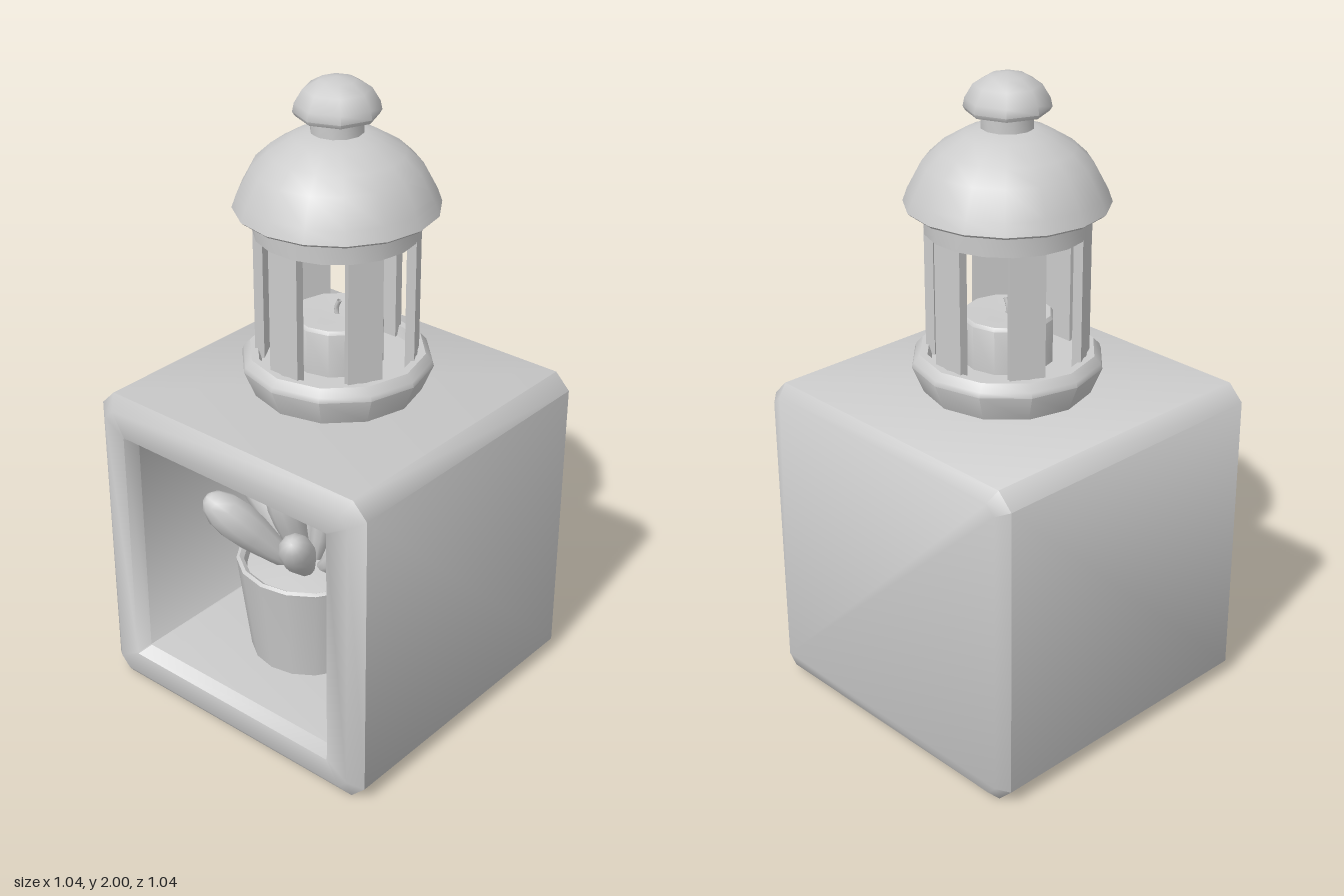
import * as THREE from 'three';
import { toCreasedNormals } from 'three/addons/utils/BufferGeometryUtils.js';

const material = new THREE.MeshStandardMaterial({ color: 0xcccccc, side: THREE.DoubleSide });

function add(parent, name, geometry, x = 0, y = 0, z = 0) {
  const mesh = new THREE.Mesh(geometry, material);
  mesh.name = name;
  mesh.position.set(x, y, z);
  parent.add(mesh);
  return mesh;
}

// Turned part from [radius, height] pairs, listed bottom to top on the outside
function turned(points, sides, crease = 0.7) {
  const lathe = new THREE.LatheGeometry(points.map(([r, y]) => new THREE.Vector2(r, y)), sides);
  return toCreasedNormals(lathe, crease);
}

// Square ring with chamfered corners, counterclockwise from the front
function ring(z, h, c) {
  const k = h - c;
  return [[h, -k], [h, k], [k, h], [-k, h], [-h, k], [-h, -k], [-k, -h], [k, -h]]
    .map(([x, y]) => [x, y, z]);
}

// Cube shell, open underneath, that folds in at the front to line a niche
function boxShell() {
  const rings = [
    ring(-0.518, 0.485, 0.03),
    ring(-0.485, 0.518, 0.05),
    ring(0.485, 0.518, 0.05),
    ring(0.518, 0.475, 0.03),
    ring(0.518, 0.4, 0.003),
    ring(0.48, 0.375, 0.002),
    ring(-0.42, 0.372, 0.002),
  ];
  const positions = [];
  const tri = (a, b, c) => positions.push(...a, ...b, ...c);
  for (let r = 0; r < rings.length - 1; r++) {
    const a = rings[r], b = rings[r + 1];
    for (let i = 0; i < 8; i++) {
      if (r === 1 && i === 6) continue; // open underside
      const j = (i + 1) % 8;
      tri(a[i], a[j], b[j]);
      tri(a[i], b[j], b[i]);
    }
  }
  const back = rings[0], nicheBack = rings[rings.length - 1];
  for (let i = 1; i < 7; i++) {
    tri(back[0], back[i + 1], back[i]);
    tri(nicheBack[0], nicheBack[i], nicheBack[i + 1]);
  }
  const geometry = new THREE.BufferGeometry();
  geometry.setAttribute('position', new THREE.Float32BufferAttribute(positions, 3));
  return toCreasedNormals(geometry, 0.9);
}

function createPlant() {
  const plant = new THREE.Group();
  plant.name = 'pottedSucculent';
  plant.position.set(0, 0.147, 0.13);

  add(plant, 'pot', turned([
    [0, 0], [0.19, 0], [0.23, 0.315], [0.232, 0.328], [0.222, 0.335], [0.208, 0.325], [0.2, 0.29],
  ], 16));
  add(plant, 'soil', turned([[0.205, 0.295], [0.1, 0.315], [0, 0.32]], 12));

  // Leaves: tip x, y, z relative to the pot base, then thickness
  const leaves = [
    [-0.12, 0.73, -0.1, 0.052],
    [0.065, 0.705, -0.06, 0.048],
    [-0.055, 0.645, 0.1, 0.055],
    [-0.3, 0.56, -0.02, 0.056],
    [-0.21, 0.57, 0.24, 0.066],
    [0.19, 0.61, -0.15, 0.052],
    [0.27, 0.51, 0.03, 0.052],
    [0.12, 0.53, 0.22, 0.056],
    [-0.1, 0.57, -0.24, 0.054],
  ];
  const up = new THREE.Vector3(0, 1, 0);
  for (const [x, y, z, r] of leaves) {
    const base = new THREE.Vector3(x * 0.15, 0.29, z * 0.15);
    const direction = new THREE.Vector3(x, y, z).sub(base);
    const length = direction.length();
    const profile = [[0, 0], [0.4, 0.04], [0.65, 0.25], [0.92, 0.5], [1, 0.67], [0.9, 0.82], [0.6, 0.94], [0.3, 0.985], [0, 1]]
      .map(([w, t]) => new THREE.Vector2(w * r, t * length));
    const leaf = add(plant, 'leaf', new THREE.LatheGeometry(profile, 10), base.x, base.y, base.z);
    leaf.quaternion.setFromUnitVectors(up, direction.normalize());
  }
  return plant;
}

function createLantern() {
  const lantern = new THREE.Group();
  lantern.name = 'lantern';

  add(lantern, 'lanternBase', turned([
    [0, 1.036], [0.258, 1.036], [0.293, 1.12], [0.288, 1.135], [0.268, 1.157], [0.245, 1.157], [0.235, 1.125], [0, 1.125],
  ], 12));

  // Six flat posts around the candle
  for (let i = 0; i < 6; i++) {
    const angle = (i * Math.PI) / 3;
    const post = add(lantern, 'post', new THREE.BoxGeometry(0.106, 0.43, 0.028),
      Math.sin(angle) * 0.226, 1.335, Math.cos(angle) * 0.226);
    post.rotation.y = angle;
  }

  const band = add(lantern, 'topBand', turned([
    [0.215, 1.62], [0.215, 1.537], [0.247, 1.537], [0.249, 1.62],
  ], 18));
  band.rotation.y = Math.PI / 18;

  // Domed roof with a hollow underside
  add(lantern, 'roof', turned([
    [0, 1.8], [0.17, 1.76], [0.22, 1.71], [0.25, 1.625], [0.295, 1.61], [0.304, 1.618], [0.29, 1.657],
    [0.247, 1.738], [0.2, 1.782], [0.13, 1.825], [0.085, 1.84], [0, 1.842],
  ], 16, 0.8));
  add(lantern, 'neck', turned([[0.078, 1.83], [0.078, 1.9]], 12));
  add(lantern, 'knob', turned([
    [0, 1.888], [0.12, 1.888], [0.127, 1.9], [0.122, 1.925], [0.098, 1.965], [0.055, 1.99], [0, 2],
  ], 8, 0.9));

  add(lantern, 'candle', turned([
    [0.14, 1.12], [0.14, 1.262], [0.132, 1.272], [0.06, 1.27], [0, 1.267],
  ], 12));
  const wickPath = new THREE.CatmullRomCurve3([
    new THREE.Vector3(0, 1.26, 0), new THREE.Vector3(-0.003, 1.285, 0), new THREE.Vector3(0.008, 1.313, 0),
  ]);
  add(lantern, 'wick', new THREE.TubeGeometry(wickPath, 5, 0.007, 6));
  return lantern;
}

export function createModel() {
  const model = new THREE.Group();
  model.name = 'lanternOnPlantBox';
  add(model, 'nicheBox', boxShell(), 0, 0.518, 0);
  model.add(createPlant(), createLantern());
  return model;
}
